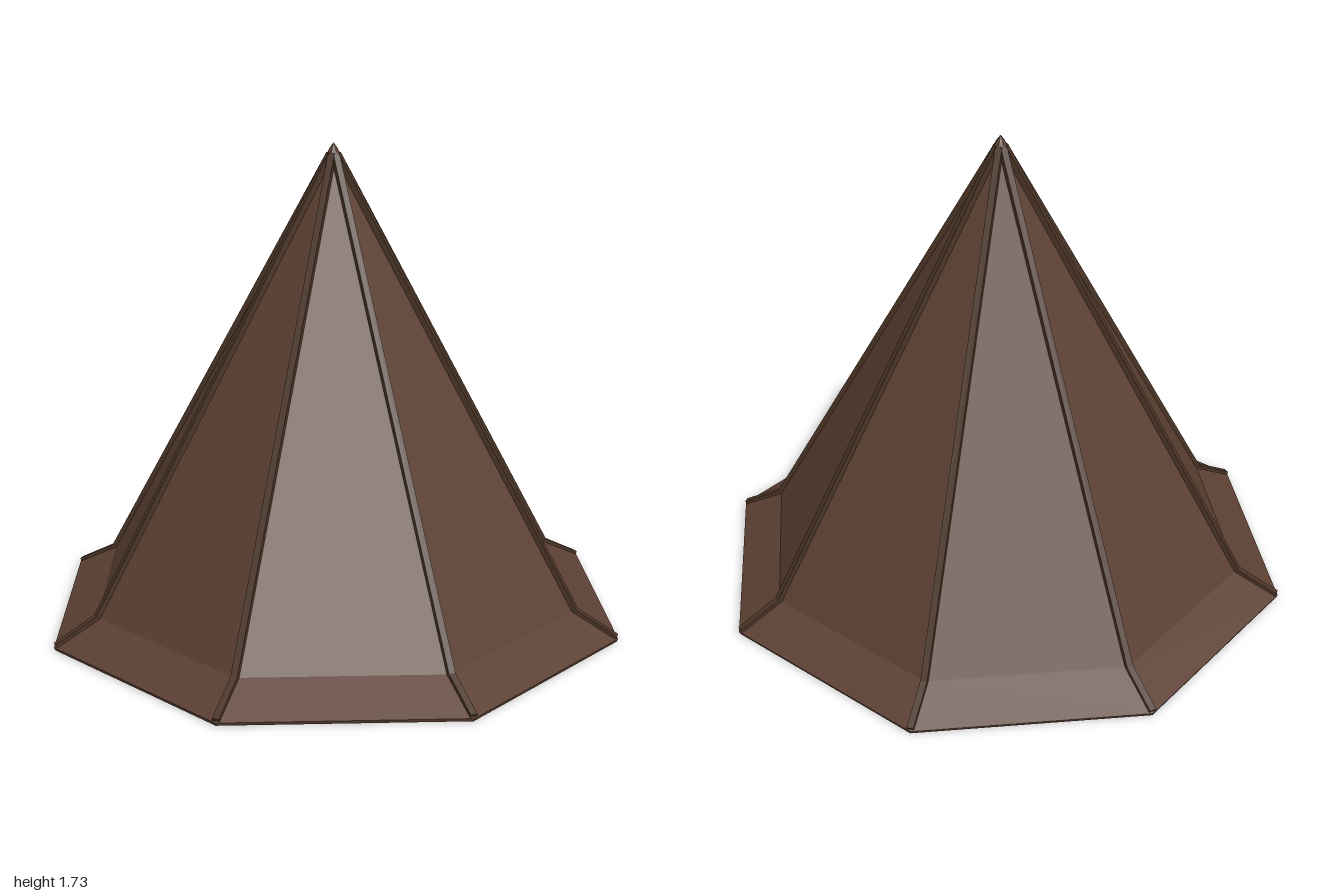
import * as THREE from 'three';

const SIDES = 8;
const STEP = (Math.PI * 2) / SIDES;
const CORNER = 1 / Math.cos(STEP / 2); // flat-side distance to corner radius

export function createModel() {
  const model = new THREE.Group();
  model.name = 'octagonalRoof';
  const panelBrown = new THREE.MeshStandardMaterial({ color: 0x5c4033, flatShading: true });
  const trimBrown = new THREE.MeshStandardMaterial({ color: 0x4a3426, flatShading: true });
  panelBrown.name = 'panel brown';
  trimBrown.name = 'trim brown';

  // Eight-sided solid from [distance to flat side, height] pairs
  function octagon(name, profile, material) {
    const points = profile.map(([r, y]) => new THREE.Vector2(r * CORNER, y));
    const geometry = new THREE.LatheGeometry(points, SIDES, STEP / 2).toNonIndexed();
    geometry.computeVertexNormals();
    const mesh = new THREE.Mesh(geometry, material);
    mesh.name = name;
    model.add(mesh);
  }

  // Straight beam between two [radius, height] points, turned about the axis
  function beam(name, [r0, y0], [r1, y1], width, depth, angle, material) {
    const length = Math.hypot(r1 - r0, y1 - y0);
    const mesh = new THREE.Mesh(new THREE.BoxGeometry(width, depth, length), material);
    mesh.position.set(0, (y0 + y1) / 2, (r0 + r1) / 2);
    mesh.rotation.x = -Math.atan2(y1 - y0, r1 - r0);
    mesh.name = name;
    const pivot = new THREE.Group();
    pivot.name = name + 'Pivot';
    pivot.rotation.y = angle;
    pivot.add(mesh);
    model.add(pivot);
  }

  // Steep roof with flared eaves, open underneath
  octagon('roofShell', [
    [0.995, 0], [1, 0.012], [0.85, 0.095], [0, 1.7],
    [0, 1.675], [0.84, 0.085], [0.995, 0],
  ], panelBrown);

  for (let i = 0; i < SIDES; i++) {
    const side = i * STEP;
    const hip = side + STEP / 2;
    // Ridge battens along the corners, with a kink at the eaves
    beam('ridgeBatten', [0.85 * CORNER, 0.097], [0.012, 1.69], 0.024, 0.024, hip, trimBrown);
    beam('eaveBatten', [0.993 * CORNER, 0.016], [0.85 * CORNER, 0.097], 0.024, 0.02, hip, trimBrown);
    // Rafter under the middle of each panel
    beam('rafter', [0.835, 0.088], [0.03, 1.61], 0.022, 0.02, side, panelBrown);
  }

  // Small pointed cap
  octagon('peakCap', [[0, 1.65], [0.02, 1.66], [0.026, 1.685], [0.014, 1.71], [0, 1.73]], panelBrown);

  return model;
}
